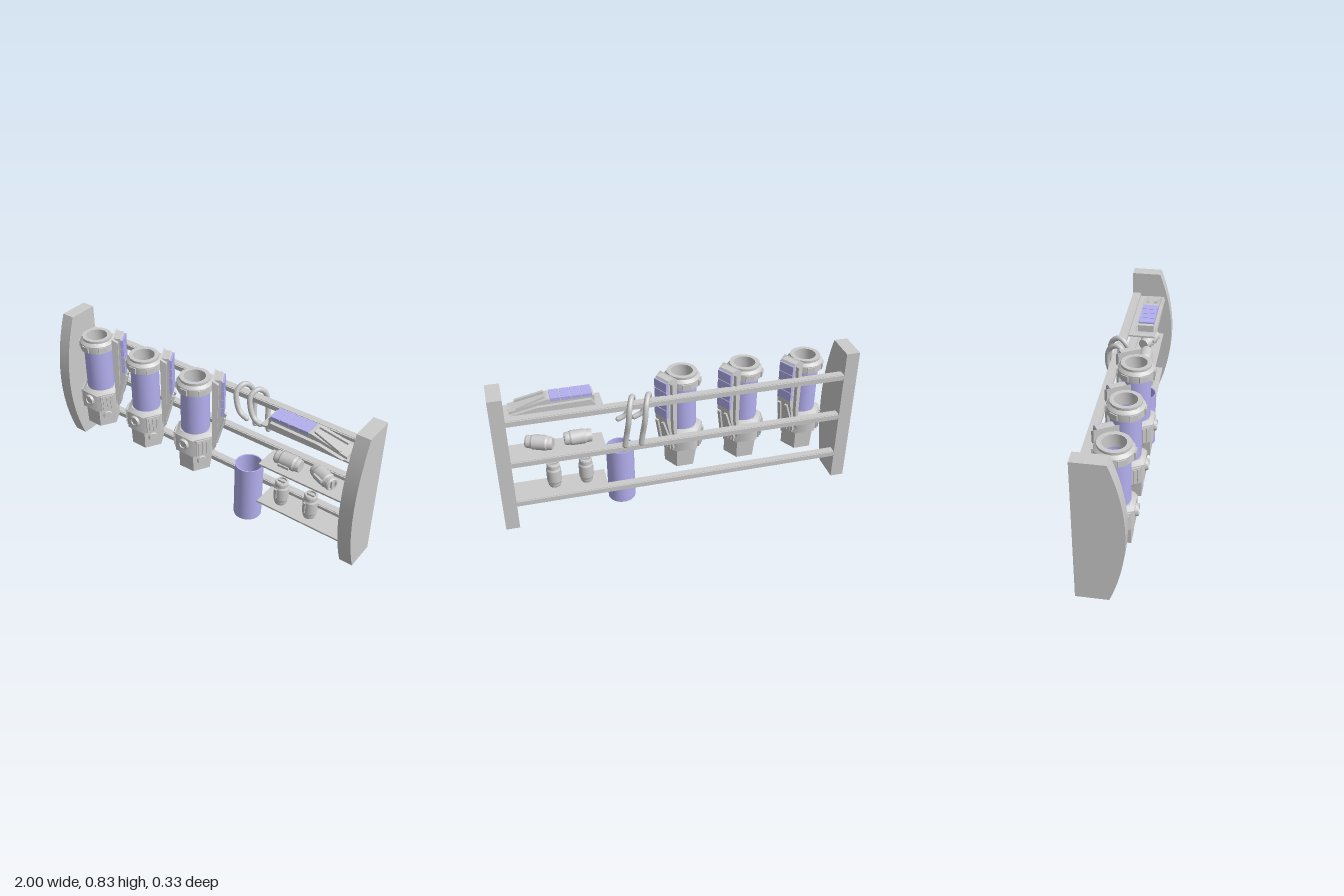
import * as THREE from 'three';
import { toCreasedNormals } from 'three/addons/utils/BufferGeometryUtils.js';

const grey = new THREE.MeshStandardMaterial({ color: 0xcccccc, side: THREE.DoubleSide });
const glass = new THREE.MeshStandardMaterial({ color: 0xb4b0f0, side: THREE.DoubleSide });

function add(parent, name, geometry, material = grey, x = 0, y = 0, z = 0) {
  const mesh = new THREE.Mesh(geometry, material);
  mesh.name = name;
  mesh.position.set(x, y, z);
  parent.add(mesh);
  return mesh;
}
const box = (w, h, d) => new THREE.BoxGeometry(w, h, d);
const lathe = (pts, sides) => toCreasedNormals(
  new THREE.LatheGeometry(pts.map(p => new THREE.Vector2(...p)), sides), 0.45);
const hexPrism = (top, bottom, h) =>
  new THREE.CylinderGeometry(top, bottom, h, 6).rotateY(Math.PI / 2).toNonIndexed();
function polygon(pts) {
  return new THREE.Shape(pts.map(p => new THREE.Vector2(...p)));
}
function extrude(shape, depth) {
  return new THREE.ExtrudeGeometry(shape, { depth, bevelEnabled: false, curveSegments: 20 })
    .translate(0, 0, -depth / 2);
}

// Side panel with a bowed front edge
function panelGeometry() {
  const s = new THREE.Shape();
  s.moveTo(-0.11, 0);
  s.lineTo(0.06, 0);
  s.quadraticCurveTo(0.22, 0.415, 0.06, 0.83);
  s.lineTo(-0.11, 0.83);
  s.closePath();
  return toCreasedNormals(extrude(s, 0.076).rotateY(-Math.PI / 2), 0.4);
}

// Window module: lies along +x, base on y = 0
function windowModule() {
  const g = new THREE.Group();
  g.name = 'windowModule';
  const body = polygon([[0, 0], [0.45, 0], [0.45, 0.012], [0.4, 0.022],
    [0.25, 0.058], [0.02, 0.058], [0, 0.045]]);
  add(g, 'moduleBody', extrude(body, 0.09));
  const skirt = polygon([[-0.004, 0], [0.44, 0], [0.3, 0.028], [0.02, 0.035]]);
  add(g, 'moduleSkirt', extrude(skirt, 0.13));
  for (let i = 0; i < 4; i++)
    add(g, 'window', box(0.052, 0.018, 0.092), glass, 0.037 + i * 0.056, 0.053, 0);
  // Sloped ridges at the tapered end
  for (const side of [-1, 1]) {
    const ridge = add(g, 'moduleRidge', box(0.16, 0.012, 0.018), grey, 0.335, 0.046, side * 0.032);
    ridge.rotation.set(0, -side * 0.12, -0.27);
  }
  return g;
}

function canister(x) {
  const g = new THREE.Group();
  g.name = 'canister';
  g.position.set(x, 0, 0.05);
  // Glass cylinder with hollow core
  add(g, 'glassCylinder', lathe([[0, 0.43], [0.08, 0.43], [0.08, 0.72]], 32), glass);
  add(g, 'innerWall', lathe([[0, 0.47], [0.06, 0.47], [0.06, 0.765]], 32), glass);
  add(g, 'cap', lathe([[0.06, 0.7], [0.1, 0.7], [0.1, 0.742], [0.084, 0.758],
    [0.084, 0.772], [0.06, 0.772], [0.06, 0.7]], 16));
  for (let i = 0; i < 6; i++) {
    const a = i * Math.PI / 3;
    add(g, 'capGrip', box(0.045, 0.034, 0.012), grey,
      Math.sin(a) * 0.098, 0.72, Math.cos(a) * 0.098).rotation.y = a;
  }
  // Hexagonal base
  add(g, 'baseShoulder', hexPrism(0.092, 0.118, 0.02), grey, 0, 0.43, 0);
  add(g, 'base', hexPrism(0.118, 0.118, 0.11), grey, 0, 0.365, 0);
  for (const a of [-1, 1, -2, 2].map(k => k * Math.PI / 3)) {
    const vent = new THREE.Group();
    vent.name = 'vent';
    vent.rotation.y = a;
    add(vent, 'ventFrame', box(0.08, 0.1, 0.012), grey, 0, 0.365, 0.106);
    for (let i = -1; i <= 1; i++)
      add(vent, 'ventSlat', box(0.012, 0.085, 0.008), grey, i * 0.023, 0.365, 0.115);
    g.add(vent);
  }
  // Front dial
  const dial = add(g, 'dial', lathe([[0, 0.012], [0.02, 0.012], [0.022, 0.018],
    [0.03, 0.018], [0.034, 0]], 20), grey, 0, 0.378, 0.1);
  dial.rotation.x = Math.PI / 2;
  // Foot, slanted on one side
  const foot = hexPrism(0.1, 0.1, 0.12);
  const p = foot.attributes.position;
  for (let i = 0; i < p.count; i++)
    if (p.getY(i) < 0) p.setX(i, Math.max(p.getX(i), -0.045));
  foot.computeVertexNormals();
  add(g, 'foot', foot, grey, 0, 0.255, 0);
  const knob = add(g, 'footKnob', new THREE.CylinderGeometry(0.024, 0.028, 0.012, 16),
    grey, 0.079, 0.265, 0.0455);
  knob.rotation.set(Math.PI / 2, 0, -Math.PI / 3, 'YXZ');
  knob.rotation.set(Math.PI / 2, Math.PI / 3, 0, 'YXZ');
  // Window module hung on the rear side face
  const out = new THREE.Vector3(Math.cos(Math.PI / 6), 0, -0.5);
  const down = new THREE.Vector3(0, -1, 0);
  const m = windowModule();
  m.quaternion.setFromRotationMatrix(
    new THREE.Matrix4().makeBasis(down, out, down.clone().cross(out)));
  m.position.copy(out).multiplyScalar(0.1).setY(0.78);
  g.add(m);
  return g;
}

// Small flask standing on y = 0
function flask() {
  const g = new THREE.Group();
  g.name = 'flask';
  add(g, 'flaskBody', lathe([[0, 0], [0.032, 0], [0.036, 0.012], [0.036, 0.025],
    [0.041, 0.035], [0.041, 0.11], [0.036, 0.12], [0.036, 0.142], [0.032, 0.15],
    [0.025, 0.15], [0.025, 0.14], [0, 0.14]], 20));
  add(g, 'flaskHandle', box(0.014, 0.065, 0.014), grey, -0.012, 0.08, 0.041);
  add(g, 'flaskLid', box(0.045, 0.012, 0.012), grey, 0, 0.145, 0);
  return g;
}

export function createModel() {
  const model = new THREE.Group();
  model.name = 'wallRack';

  for (const side of [-1, 1]) add(model, 'sidePanel', panelGeometry(), grey, side * 0.962);

  // Rails and their short shelves
  const shelf = polygon([[0.41, 0.06], [0.93, 0.06], [0.93, -0.09], [0.41, -0.09]]);
  for (const y of [0.16, 0.42, 0.68]) {
    add(model, 'rail', box(1.86, 0.022, 0.05), grey, 0, y + 0.005, -0.085);
    add(model, 'railLip', box(1.86, 0.036, 0.034), grey, 0, y, -0.085);
    add(model, 'shelf', extrude(shelf, 0.01).rotateX(-Math.PI / 2), grey, 0, y - 0.007, 0);
  }

  for (const x of [-0.75, -0.395, -0.04]) model.add(canister(x));

  // Hooks draped over the top rail
  const path = new THREE.CatmullRomCurve3([[0.245, 0.57, -0.03], [0.205, 0.59, -0.03],
    [0.175, 0.65, -0.035], [0.165, 0.705, -0.05], [0.18, 0.733, -0.09], [0.2, 0.7, -0.135],
    [0.212, 0.62, -0.152], [0.222, 0.54, -0.14], [0.232, 0.468, -0.136]]
    .map(p => new THREE.Vector3(...p)));
  for (const dx of [0, 0.088]) {
    add(model, 'hook', new THREE.TubeGeometry(path, 40, 0.015, 10), grey, dx);
    for (const t of [0, 1]) {
      const e = path.getPoint(t);
      add(model, 'hookTip', new THREE.SphereGeometry(0.015, 10, 8), grey, e.x + dx, e.y, e.z);
    }
  }

  // Spare open glass cylinder
  add(model, 'spareCylinder', lathe([[0.071, 0], [0.078, 0], [0.078, 0.345],
    [0.071, 0.345], [0.071, 0]], 32), glass, 0.32, 0, 0.04);

  // Spare module and flasks on the shelves
  const spare = windowModule();
  spare.position.set(0.45, 0.68, 0.035);
  model.add(spare);
  for (const x of [0.52, 0.7]) {
    const f = flask();
    f.position.set(x, 0.16, 0.02);
    model.add(f);
  }
  for (const [x, dir, turn] of [[0.625, 1, 0], [0.69, -1, -0.4]]) {
    const lying = new THREE.Group();
    lying.name = 'lyingFlask';
    const f = flask();
    f.rotation.z = dir * Math.PI / 2;
    lying.add(f);
    lying.rotation.y = turn;
    lying.position.set(x, 0.458, turn ? -0.01 : 0.02);
    model.add(lying);
  }
  return model;
}
